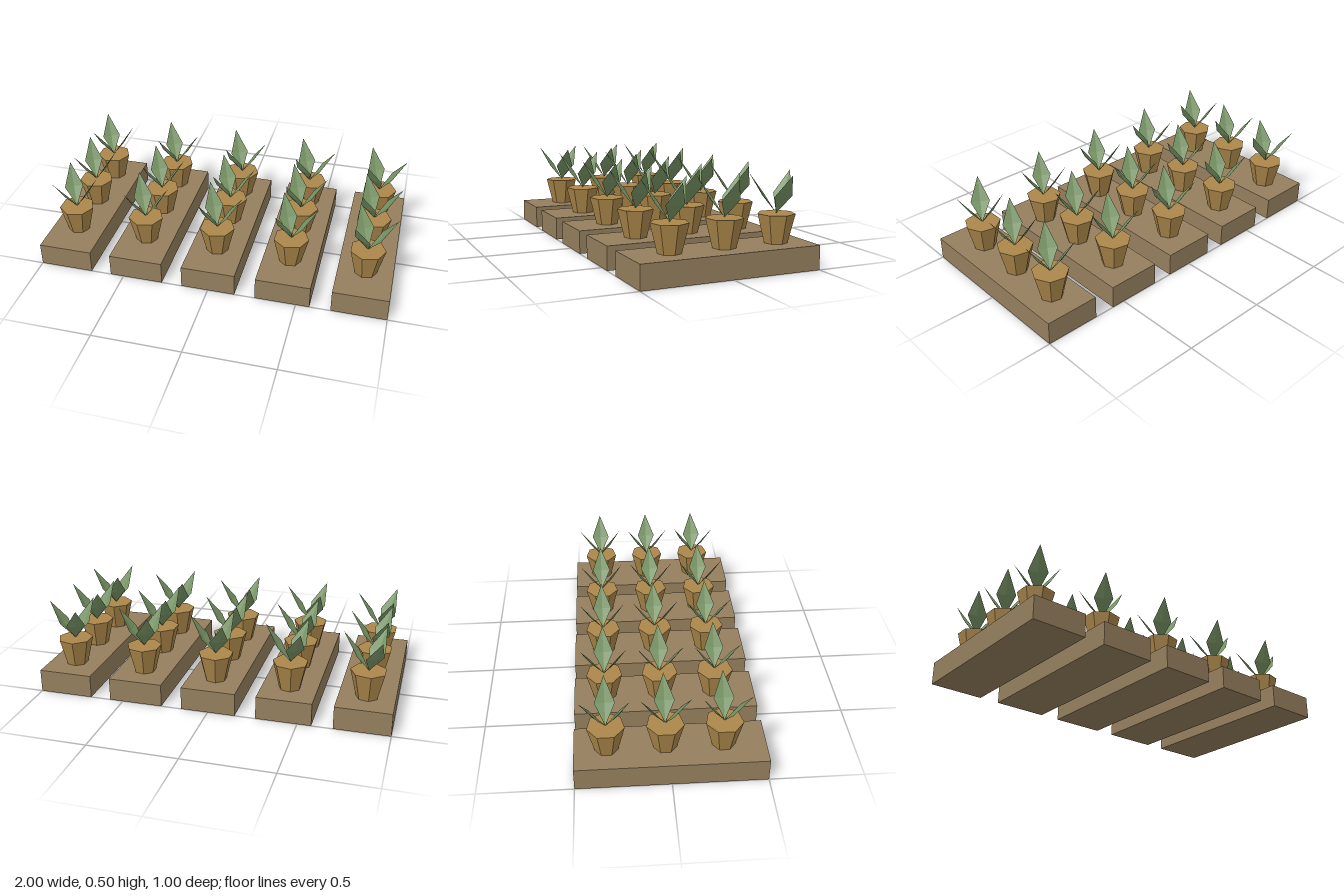
import * as THREE from 'three';

const BED = { w: 0.307, h: 0.13, d: 1, spacing: 0.4233 };
const POT_TOP = 0.284;
const POT_Z = [0.277, -0.027, -0.33];

const flat = (name, color, extra = {}) => {
  const m = new THREE.MeshStandardMaterial({ color, flatShading: true, ...extra });
  m.name = name;
  return m;
};

// Pointed leaf leaning out along +x, folded along its midrib
function leafGeometry() {
  const base = [0, 0, 0], tip = [0.144, 0.211, 0];
  const left = [0.064, 0.095, -0.053], right = [0.064, 0.095, 0.053];
  const rib = [0.072, 0.09, 0];
  const g = new THREE.BufferGeometry();
  const faces = [base, left, rib, left, tip, rib, base, rib, right, rib, tip, right];
  g.setAttribute('position', new THREE.Float32BufferAttribute(faces.flat(), 3));
  g.computeVertexNormals();
  return g;
}

export function createModel() {
  const soil = flat('bedBrown', 0x957f5e);
  const clay = flat('potTan', 0xab874a);
  const green = flat('leafGreen', 0x789566, { side: THREE.DoubleSide });

  const bedGeo = new THREE.BoxGeometry(BED.w, BED.h, BED.d);
  // Seven-sided tapered pot with a corner pointing to +x
  const potH = POT_TOP - BED.h;
  const potGeo = new THREE.CylinderGeometry(0.0995, 0.062, potH, 7, 1).rotateY(Math.PI / 2);
  const leafGeo = leafGeometry();

  const add = (parent, name, geo, mat, y) => {
    const mesh = new THREE.Mesh(geo, mat);
    mesh.name = name;
    mesh.position.y = y;
    parent.add(mesh);
    return mesh;
  };

  const model = new THREE.Group();
  model.name = 'plantBeds';
  for (let i = -2; i <= 2; i++) {
    const row = new THREE.Group();
    row.name = 'bedRow';
    row.position.x = i * BED.spacing;
    add(row, 'bed', bedGeo, soil, BED.h / 2);

    // Three potted plants on each bed
    for (const z of POT_Z) {
      const plant = new THREE.Group();
      plant.name = 'pottedPlant';
      plant.position.z = z;
      add(plant, 'pot', potGeo, clay, BED.h + potH / 2);
      for (let k = 0; k < 3; k++) {
        add(plant, 'leaf', leafGeo, green, POT_TOP).rotation.y = (k * Math.PI * 2) / 3;
      }
      row.add(plant);
    }
    model.add(row);
  }
  return model;
}
